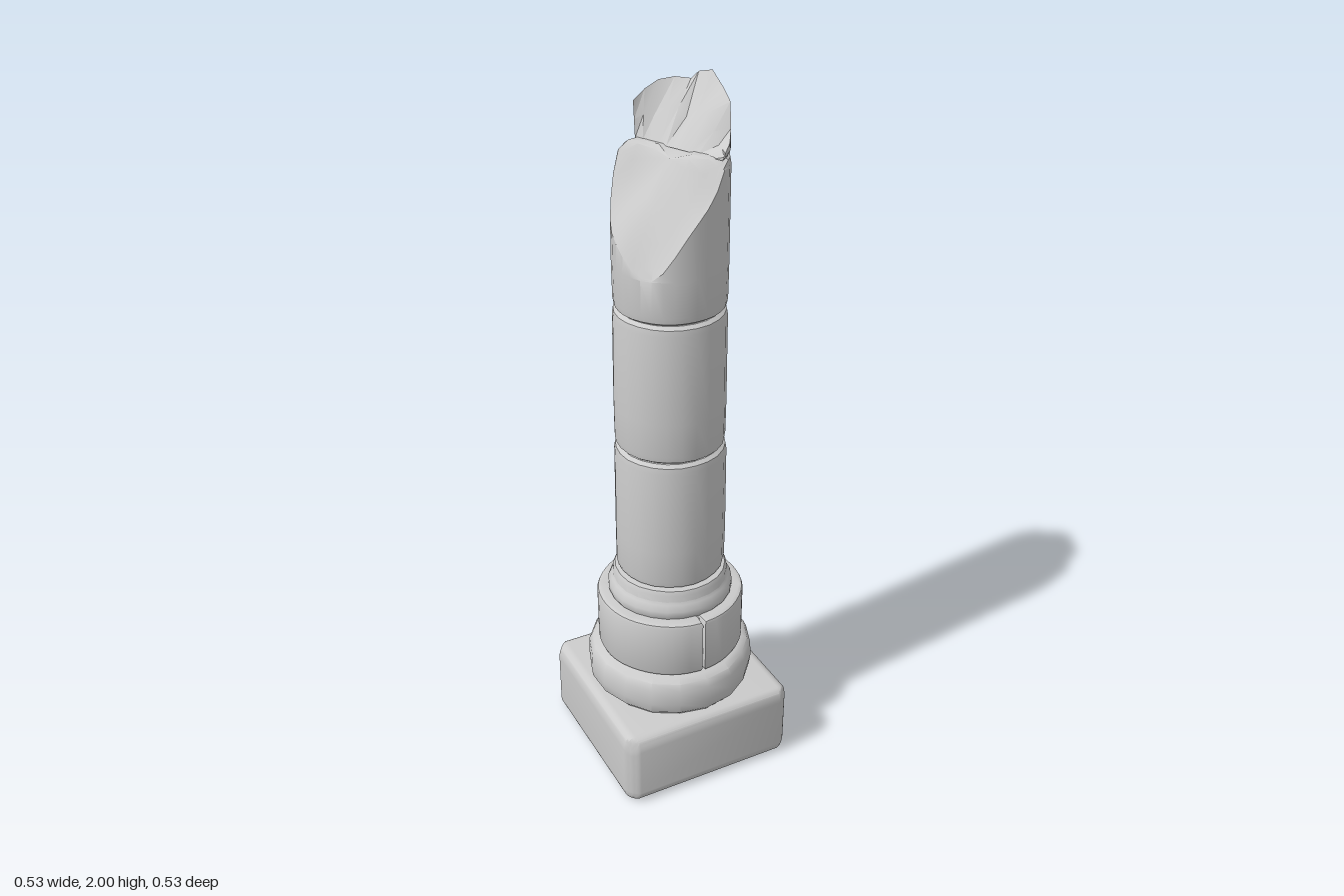
import * as THREE from 'three';
import { toCreasedNormals, mergeVertices } from 'three/addons/utils/BufferGeometryUtils.js';
import { RoundedBoxGeometry } from 'three/addons/geometries/RoundedBoxGeometry.js';

const stone = new THREE.MeshStandardMaterial({ color: 0xcccccc });

// Moves every vertex by a rule, then rebuilds normals with sharp creases.
function weather(geometry, rule, crease = 0.6) {
  geometry.deleteAttribute('uv');
  geometry.deleteAttribute('normal');
  const g = mergeVertices(geometry, 1e-5);
  const p = g.attributes.position;
  const v = new THREE.Vector3();
  for (let i = 0; i < p.count; i++) {
    v.fromBufferAttribute(p, i);
    rule(v);
    p.setXYZ(i, v.x, v.y, v.z);
  }
  return toCreasedNormals(g, crease);
}

// Gentle uneven wear, pushing stone in and out from the axis.
function wear(v, amount, seed) {
  const a = Math.atan2(v.x, v.z);
  const k = 1 + amount * (Math.sin(3 * a + seed + v.y * 4) + 0.7 * Math.sin(7 * a + seed * 2.3 - v.y * 9));
  v.x *= k;
  v.z *= k;
}

function turned(profile, sides, seed, amount = 0.008, extra = () => {}) {
  const pts = profile.map(([r, y]) => new THREE.Vector2(r, y));
  return weather(new THREE.LatheGeometry(pts, sides), (v) => {
    wear(v, amount, seed);
    extra(v);
  });
}

// Round-edged shaft drum, with rings across its top so it can be cut.
function drumProfile(r, y0, y1) {
  const h = y1 - y0;
  return [[0, y0], [r - 0.014, y0], [r - 0.003, y0 + 0.008], [r, y0 + 0.025],
    [r + 0.001, y0 + h * 0.3], [r, y1 - 0.025], [r - 0.003, y1 - 0.008], [r - 0.014, y1],
    [r * 0.7, y1], [r * 0.4, y1], [0, y1]];
}

// Slanting fracture through the third drum.
function fracture(v) {
  const cut = 1.81 + 1.455 * v.x - 0.823 * v.z
    + 0.014 * Math.sin(v.x * 32 + v.z * 14) + 0.01 * Math.sin(v.z * 38 - v.x * 9);
  v.y = Math.min(v.y, cut);
}

// Jagged sliver of the next drum: curved outer wall, broken sloping inner face.
function shardGeometry() {
  const rim = [[36, 1.845], [50, 1.86], [64, 1.885], [72, 1.945], [90, 1.965], [108, 2.0],
    [124, 1.99], [132, 1.97], [148, 1.972], [164, 1.965], [178, 1.945], [191, 1.92]];
  const ring = (r, y) => rim.map(([deg, top]) => {
    const a = THREE.MathUtils.degToRad(deg);
    return new THREE.Vector3(r * Math.sin(a), y ?? top, r * Math.cos(a));
  });
  const foot = ring(0.142, 1.826);
  const wall = ring(0.149, 1.84);
  const top = ring(0.148);
  const n = rim.length - 1;
  const chord = foot.map((_, i) => foot[0].clone().lerp(foot[n], i / n));
  // broken face bulges unevenly between rim and foot
  const middle = top.map((t, i) => {
    const m = t.clone().lerp(chord[i], 0.5);
    m.y += Math.sin(Math.PI * i / n) * 0.02 * Math.sin(i * 1.9);
    return m;
  });
  const rows = [foot, wall, top, middle, chord, foot];
  const pos = [];
  for (let j = 0; j < rows.length - 1; j++) {
    for (let i = 0; i < n; i++) {
      const [a, b, c, d] = [rows[j][i], rows[j][i + 1], rows[j + 1][i + 1], rows[j + 1][i]];
      for (const p of [a, b, c, a, c, d]) pos.push(p.x, p.y, p.z);
    }
  }
  // end caps
  for (const [i, flip] of [[0, false], [n, true]]) {
    const tris = [[wall[i], top[i], middle[i]], [wall[i], middle[i], foot[i]]];
    for (const t of tris) for (const p of flip ? t : [t[0], t[2], t[1]]) pos.push(p.x, p.y, p.z);
  }
  const g = new THREE.BufferGeometry();
  g.setAttribute('position', new THREE.Float32BufferAttribute(pos, 3));
  return toCreasedNormals(g, 0.5);
}

// Half of the split collar, extruded upward with bevelled edges.
function collarHalfGeometry() {
  const bevel = 0.01, gap = 0.066, end = Math.PI / 2 - gap;
  const shape = new THREE.Shape();
  shape.absarc(0, 0, 0.2, -end, end, false);
  shape.absarc(0, 0, 0.13, end, -end, true);
  shape.closePath();
  const g = new THREE.ExtrudeGeometry(shape, {
    depth: 0.155, curveSegments: 12, bevelEnabled: true,
    bevelThickness: bevel, bevelSize: bevel, bevelSegments: 2,
  });
  g.rotateX(-Math.PI / 2).translate(0, 0.37, 0);
  return weather(g, (v) => wear(v, 0.004, 2));
}

export function createModel() {
  const model = new THREE.Group();
  const add = (name, geometry) => {
    const mesh = new THREE.Mesh(geometry, stone);
    mesh.name = name;
    model.add(mesh);
    return mesh;
  };

  // Square plinth with bulging sides and worn corners
  const block = new RoundedBoxGeometry(0.53, 0.232, 0.53, 4, 0.035);
  block.translate(0, 0.117, 0);
  add('plinth', weather(block, (v) => {
    const { x, z } = v;
    v.x += Math.sign(x) * 0.010 * (1 - (z / 0.265) ** 2);
    v.z += Math.sign(z) * 0.010 * (1 - (x / 0.265) ** 2);
    const corner = Math.max(0, Math.abs(x) + Math.abs(z) - 0.485);
    v.x -= Math.sign(x) * corner * 0.2;
    v.z -= Math.sign(z) * corner * 0.2;
    // top corners are chipped lower, most at the front right
    if (v.y > 0.15) v.y -= corner * (x < 0 && z > 0 ? 0.9 : 0.35);
  }));

  // Lower ring, coarse and chipped
  add('lowerRing', turned([[0, 0.235], [0.225, 0.235], [0.238, 0.25], [0.242, 0.28],
    [0.24, 0.325], [0.23, 0.345], [0.212, 0.356], [0, 0.356]], 18, 1, 0.009));

  // Collar in two halves around a core
  add('collarCore', turned([[0, 0.35], [0.178, 0.35], [0.178, 0.525], [0, 0.53]], 24, 0, 0));
  add('leftCollarHalf', collarHalfGeometry());
  add('rightCollarHalf', collarHalfGeometry()).rotation.y = Math.PI;

  // Moulding stepping in to the shaft
  add('moulding', turned([[0, 0.53], [0.172, 0.53], [0.179, 0.542], [0.179, 0.56], [0.17, 0.578],
    [0.165, 0.585], [0.164, 0.605], [0.158, 0.617], [0.14, 0.62], [0, 0.62]], 24, 4, 0.005));

  // Shaft drums
  add('lowerDrum', turned(drumProfile(0.154, 0.62, 1.02), 24, 0.5, 0.006));
  add('middleDrum', turned(drumProfile(0.151, 1.021, 1.422), 24, 2.5, 0.005));
  add('brokenDrum', turned(drumProfile(0.15, 1.423, 1.83), 32, 5, 0.005, fracture));

  // Remaining sliver at the top
  add('topShard', shardGeometry());

  return model;
}
